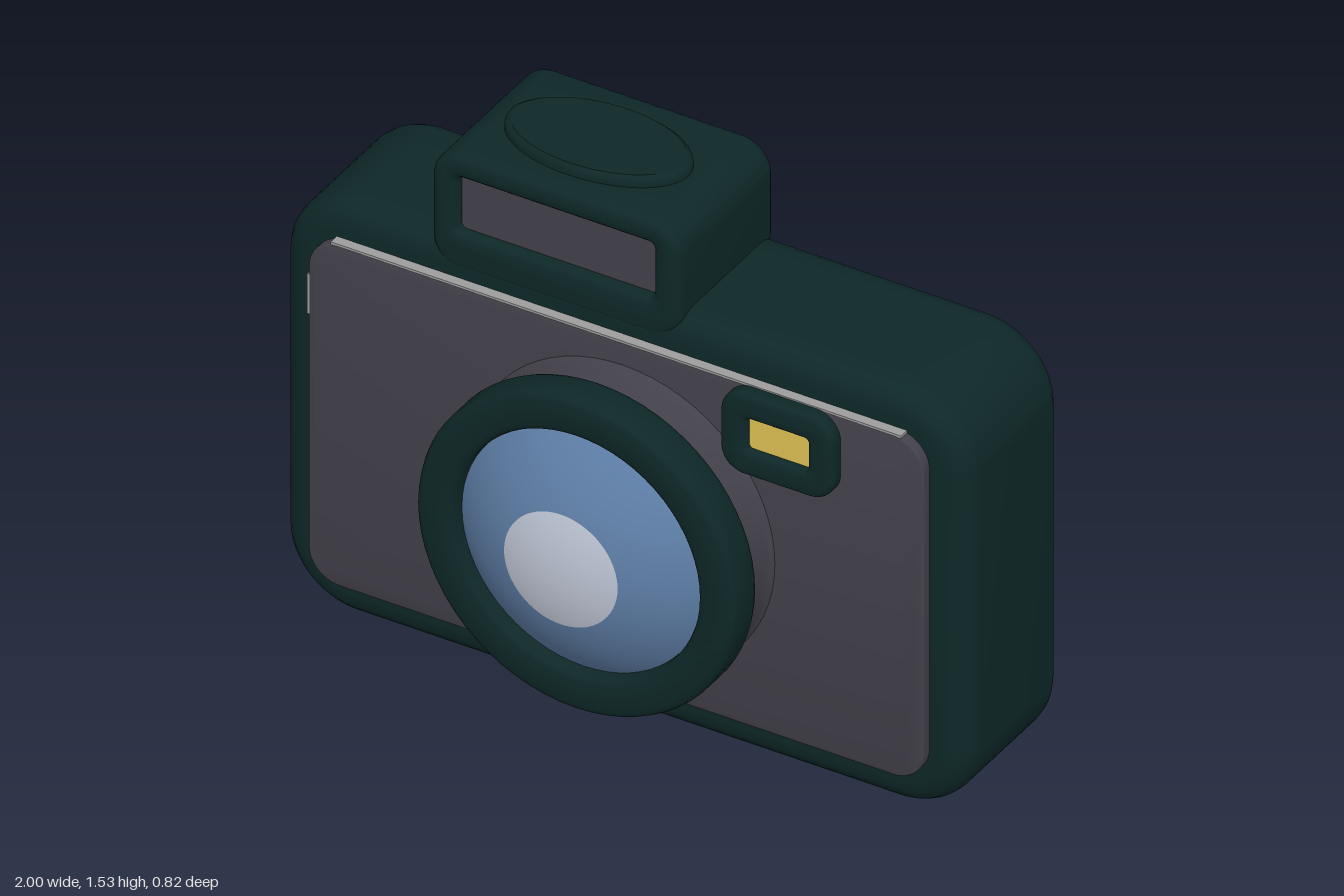
import * as THREE from 'three';
import { toCreasedNormals } from 'three/addons/utils/BufferGeometryUtils.js';

const material = (name, color) => new THREE.MeshStandardMaterial({ name, color });

// Rounded rectangle outline from x0,y0 to x1,y1
function roundRect(path, x0, y0, x1, y1, r) {
  path.absarc(x1 - r, y0 + r, r, -Math.PI / 2, 0);
  path.absarc(x1 - r, y1 - r, r, 0, Math.PI / 2);
  path.absarc(x0 + r, y1 - r, r, Math.PI / 2, Math.PI);
  path.absarc(x0 + r, y0 + r, r, Math.PI, Math.PI * 1.5);
  path.closePath();
  return path;
}

// Slab with rounded corners (r) and rounded edges (b); hole is [x0, y0, x1, y1, r]
function slab([x0, y0, x1, y1], r, z0, z1, b, hole) {
  const shape = roundRect(new THREE.Shape(), x0 + b, y0 + b, x1 - b, y1 - b, r - b);
  if (hole) {
    const [a, c, d, e, hr] = hole;
    shape.holes.push(roundRect(new THREE.Path(), a - b, c - b, d + b, e + b, hr + b));
  }
  const geo = new THREE.ExtrudeGeometry(shape, {
    depth: z1 - z0 - 2 * b, bevelEnabled: true, bevelSize: b, bevelThickness: b,
    bevelSegments: 5, curveSegments: 10,
  });
  geo.translate(0, 0, z0 + b);
  return toCreasedNormals(geo, 0.6);
}

// Revolved profile of [radius, z] pairs, axis pointing forward
function turned(points) {
  const geo = new THREE.LatheGeometry(points.map(([r, z]) => new THREE.Vector2(r, z)), 64);
  geo.rotateX(Math.PI / 2);
  return toCreasedNormals(geo, 0.9);
}

export function createModel() {
  const group = new THREE.Group();
  group.name = 'camera';
  const green = material('dark green', 0x0e2727);
  const grey = material('charcoal', 0x42404a);
  const blue = material('lens blue', 0x5d7da5);
  const pale = material('lens highlight', 0xbcc3d2);
  const yellow = material('flash yellow', 0xdcc052);
  const silver = material('trim silver', 0x9c9d9c);
  const add = (name, geo, mat, x = 0, y = 0, z = 0) => {
    const mesh = new THREE.Mesh(geo, mat);
    mesh.name = name;
    mesh.position.set(x, y, z);
    group.add(mesh);
    return mesh;
  };

  // Body with front and back panels
  add('body', slab([-1, 0, 1, 1.24], 0.21, -0.41, 0.055, 0.07), green);
  add('frontPanel', slab([-0.9, 0.11, 0.89, 1.135], 0.09, 0.03, 0.086, 0.008), grey);
  add('backPanel', slab([-0.9, 0.11, 0.9, 1.13], 0.12, -0.413, -0.39, 0.002), grey);
  add('topTrim', new THREE.BoxGeometry(1.66, 0.008, 0.032), silver, -0.005, 1.135, 0.068);
  add('sideTrim', new THREE.BoxGeometry(0.008, 0.12, 0.03), silver, -0.899, 0.96, 0.07);

  // Viewfinder housing with a window front and back
  add('viewfinder', slab([-0.565, 1.15, 0.16, 1.505], 0.09, -0.41, 0.055, 0.03,
    [-0.49, 1.27, 0.08, 1.43, 0.015]), green);
  add('viewfinderWindow', new THREE.BoxGeometry(0.6, 0.19, 0.4), grey, -0.205, 1.35, -0.1775);

  // Oval shutter button
  const button = turned([[0, 0], [1, 0], [1, 0.5], [0.985, 0.8], [0.93, 1], [0, 1]]);
  button.rotateX(-Math.PI / 2);
  add('shutterButton', button, green, -0.205, 1.495, -0.165).scale.set(0.26, 0.04, 0.15);

  // Lens barrel, ring and domed glass
  const cx = 0.015, cy = 0.625;
  add('lensBarrel', turned([[0.45, 0.08], [0.44, 0.09], [0.43, 0.12], [0.428, 0.22]]), grey, cx, cy);
  add('lensRing', turned([
    [0.35, 0.2], [0.445, 0.2], [0.459, 0.206], [0.465, 0.22], [0.465, 0.295], [0.459, 0.309],
    [0.445, 0.315], [0.375, 0.315], [0.361, 0.309], [0.355, 0.295], [0.35, 0.2],
  ]), green, cx, cy);
  const cap = (from, to) =>
    new THREE.SphereGeometry(0.53, 64, 12, 0, Math.PI * 2, from, to - from).rotateX(Math.PI / 2);
  add('lensGlass', cap(0.317, 0.76), blue, cx, cy, -0.122);
  add('lensHighlight', cap(0, 0.317), pale, cx, cy, -0.122);

  // Flash frame and lamp
  add('flashFrame', slab([0.32, 0.89, 0.65, 1.135], 0.07, 0.06, 0.126, 0.018,
    [0.395, 0.965, 0.575, 1.06, 0.012]), green);
  add('flashLamp', new THREE.BoxGeometry(0.2, 0.115, 0.009), yellow, 0.485, 1.0125, 0.098);

  return group;
}
